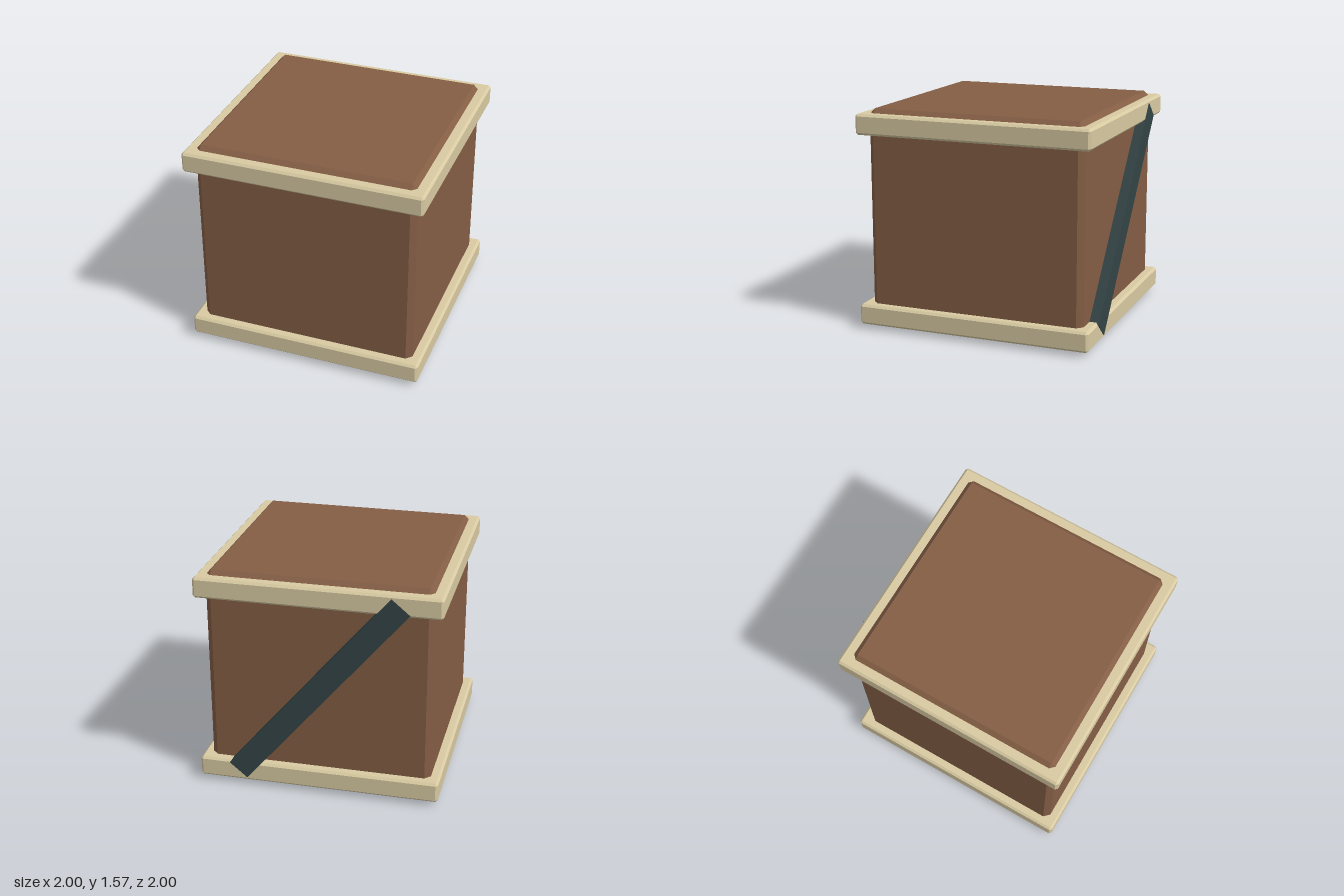
import * as THREE from 'three';
import { ConvexGeometry } from 'three/addons/geometries/ConvexGeometry.js';

// Box with every edge cut by a flat chamfer c
function chamferBox(w, h, d, c) {
  const [x, y, z] = [w / 2, h / 2, d / 2];
  const points = [];
  for (const sx of [-1, 1]) for (const sy of [-1, 1]) for (const sz of [-1, 1]) {
    points.push(
      new THREE.Vector3(sx * x, sy * (y - c), sz * (z - c)),
      new THREE.Vector3(sx * (x - c), sy * y, sz * (z - c)),
      new THREE.Vector3(sx * (x - c), sy * (y - c), sz * z),
    );
  }
  return new ConvexGeometry(points);
}

export function createModel() {
  const model = new THREE.Group();
  model.name = 'crate';
  const box = new THREE.Group();
  box.name = 'turnedCrate';
  box.rotation.y = 0.202;
  model.add(box);

  const material = (color) => new THREE.MeshStandardMaterial({ color, flatShading: true });
  const add = (name, geometry, mat, x, y, z) => {
    const mesh = new THREE.Mesh(geometry, mat);
    mesh.name = name;
    mesh.position.set(x, y, z);
    box.add(mesh);
    return mesh;
  };

  // Main chest
  add('body', chamferBox(1.57, 1.57, 1.57, 0.04), material(0x845e45), 0, 0.785, 0);

  // Pale bands around the bottom and top
  const trim = material(0xd8caa2);
  const band = chamferBox(1.7, 0.146, 1.7, 0.016);
  add('bottomTrim', band, trim, 0, 0.104, 0);
  add('topTrim', band, trim, 0, 1.466, 0);

  // Dark diagonal brace across the back, just proud of the bands
  const brace = add('backBrace', new THREE.BoxGeometry(0.165, 1.77, 0.1),
    material(0x344446), 0, 0.785, -0.805);
  brace.rotation.z = 0.7;

  return model;
}
